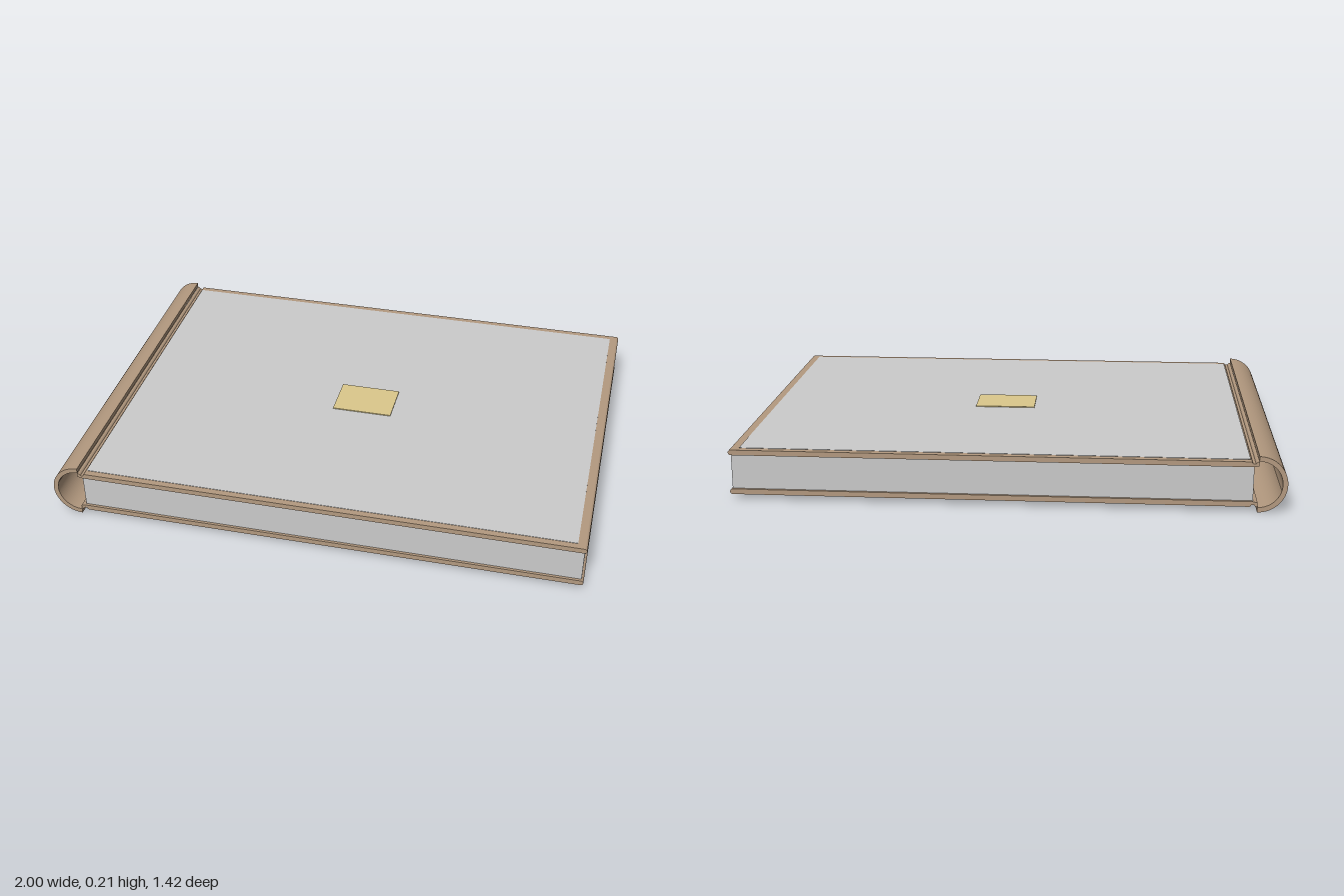
import * as THREE from 'three';

const MID = 0.1035;      // height of the book's middle plane
const DEPTH = 1.42;      // cover length along z

const material = (color) => new THREE.MeshStandardMaterial({ color });

function add(group, name, geometry, mat, x = 0, y = 0, z = 0) {
  const mesh = new THREE.Mesh(geometry, mat);
  mesh.name = name;
  mesh.position.set(x, y, z);
  group.add(mesh);
  return mesh;
}

// Extrude an xy outline along z, centred on z = 0
function extrudeAlongZ(shape, depth) {
  const geometry = new THREE.ExtrudeGeometry(shape, { depth, bevelEnabled: false, curveSegments: 24 });
  return geometry.translate(0, 0, -depth / 2);
}

// Cover board outline: rounded fore edge and a thin sunken hinge beside the spine
function coverShape() {
  const lo = 0.064, hi = 0.0835, r = (hi - lo) / 2;
  const s = new THREE.Shape();
  s.moveTo(-0.897, lo + 0.004);
  s.lineTo(-0.88, lo);
  s.lineTo(0.995 - r, lo);
  s.absarc(0.995 - r, lo + r, r, -Math.PI / 2, Math.PI / 2, false);
  s.lineTo(-0.866, hi);
  s.quadraticCurveTo(-0.873, hi, -0.875, hi - 0.008);
  s.lineTo(-0.885, hi - 0.008);
  s.quadraticCurveTo(-0.888, hi, -0.897, hi);
  s.closePath();
  return s;
}

// Half-round hollow spine outline
function spineShape() {
  const s = new THREE.Shape();
  s.absarc(0, 0, MID, Math.PI / 2, Math.PI * 1.5, false);
  s.absarc(0, 0, MID - 0.018, Math.PI * 1.5, Math.PI / 2, true);
  s.closePath();
  return s;
}

export function createModel() {
  const book = new THREE.Group();
  book.name = 'book';
  const leather = material(0xb49a80);
  const grey = material(0xcccccc);
  const gold = material(0xdcc98c);

  // Page block
  add(book, 'pages', new THREE.BoxGeometry(1.868, 0.13, 1.4), grey, 0.053, MID, 0);

  // Two boards, the lower one turned over about the x axis
  const cover = extrudeAlongZ(coverShape(), DEPTH);
  add(book, 'frontCover', cover, leather, 0, MID, 0);
  add(book, 'backCover', cover, leather, 0, MID, 0).rotation.x = Math.PI;

  // Spine
  add(book, 'spine', extrudeAlongZ(spineShape(), DEPTH), leather, -0.8965, MID, 0);

  // Inlaid panel and small plate on the front cover
  add(book, 'coverPanel', new THREE.BoxGeometry(1.828, 0.004, 1.37), grey, 0.046, 0.1865, 0);
  add(book, 'titlePlate', new THREE.BoxGeometry(0.232, 0.005, 0.172), gold, 0.047, 0.1895, 0);

  return book;
}
